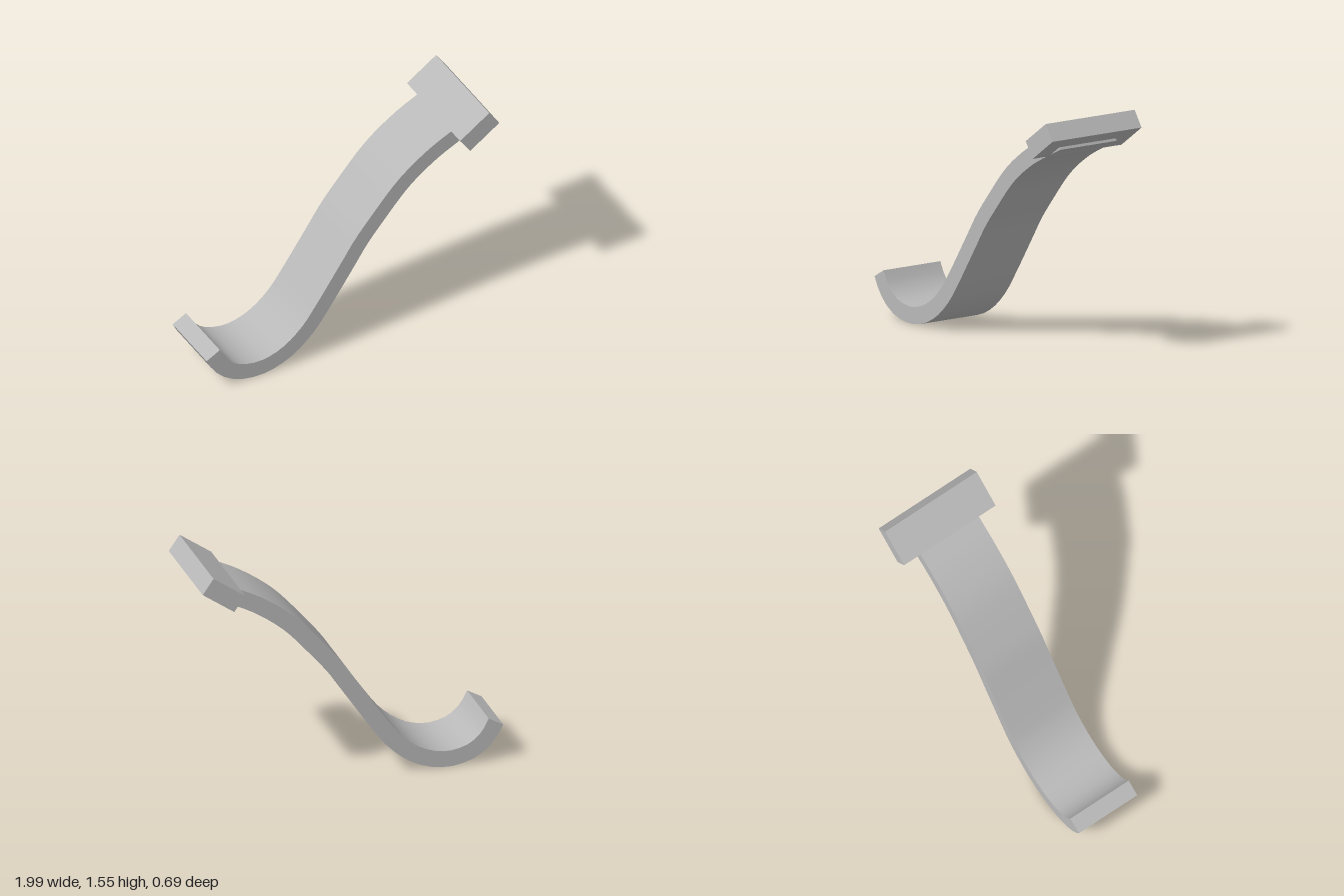
import * as THREE from 'three';
import { toCreasedNormals } from 'three/addons/utils/BufferGeometryUtils.js';

export function createModel() {
  const group = new THREE.Group();
  const grey = new THREE.MeshStandardMaterial({ color: 0xb8b8b8 });
  grey.name = 'plain grey';

  // Curved strap: constant thickness around an S-shaped centreline
  const centre = new THREE.CatmullRomCurve3([
    [-0.95, 0.268], [-0.9, 0.18], [-0.8, 0.095], [-0.65, 0.058], [-0.52, 0.077],
    [-0.4, 0.135], [-0.28, 0.24], [-0.2, 0.345], [0, 0.64], [0.09, 0.775], [0.2, 0.91],
    [0.4, 1.13], [0.6, 1.277], [0.74, 1.35], [0.884, 1.42],
  ].map(([x, y]) => new THREE.Vector3(x, y, 0)));
  const half = 0.054, steps = 40, upper = [], lower = [];
  for (let i = 0; i <= steps; i++) {
    const p = centre.getPointAt(i / steps), t = centre.getTangentAt(i / steps);
    upper.push(new THREE.Vector2(p.x - t.y * half, p.y + t.x * half));
    lower.push(new THREE.Vector2(p.x + t.y * half, p.y - t.x * half));
  }
  const outline = new THREE.Shape([...lower, ...upper.reverse()]);
  const strapGeo = new THREE.ExtrudeGeometry(outline, { depth: 0.44, bevelEnabled: false });
  strapGeo.translate(0, 0, -0.22);
  const strap = new THREE.Mesh(toCreasedNormals(strapGeo, 0.6), grey);
  strap.name = 'curvedStrap';
  group.add(strap);

  // Tilted crossbar block over the upper end
  const block = new THREE.Mesh(new THREE.BoxGeometry(0.251, 0.123, 0.69), grey);
  block.position.set(0.859, 1.433, 0);
  block.rotation.z = THREE.MathUtils.degToRad(35);
  block.name = 'endBlock';
  group.add(block);

  return group;
}
